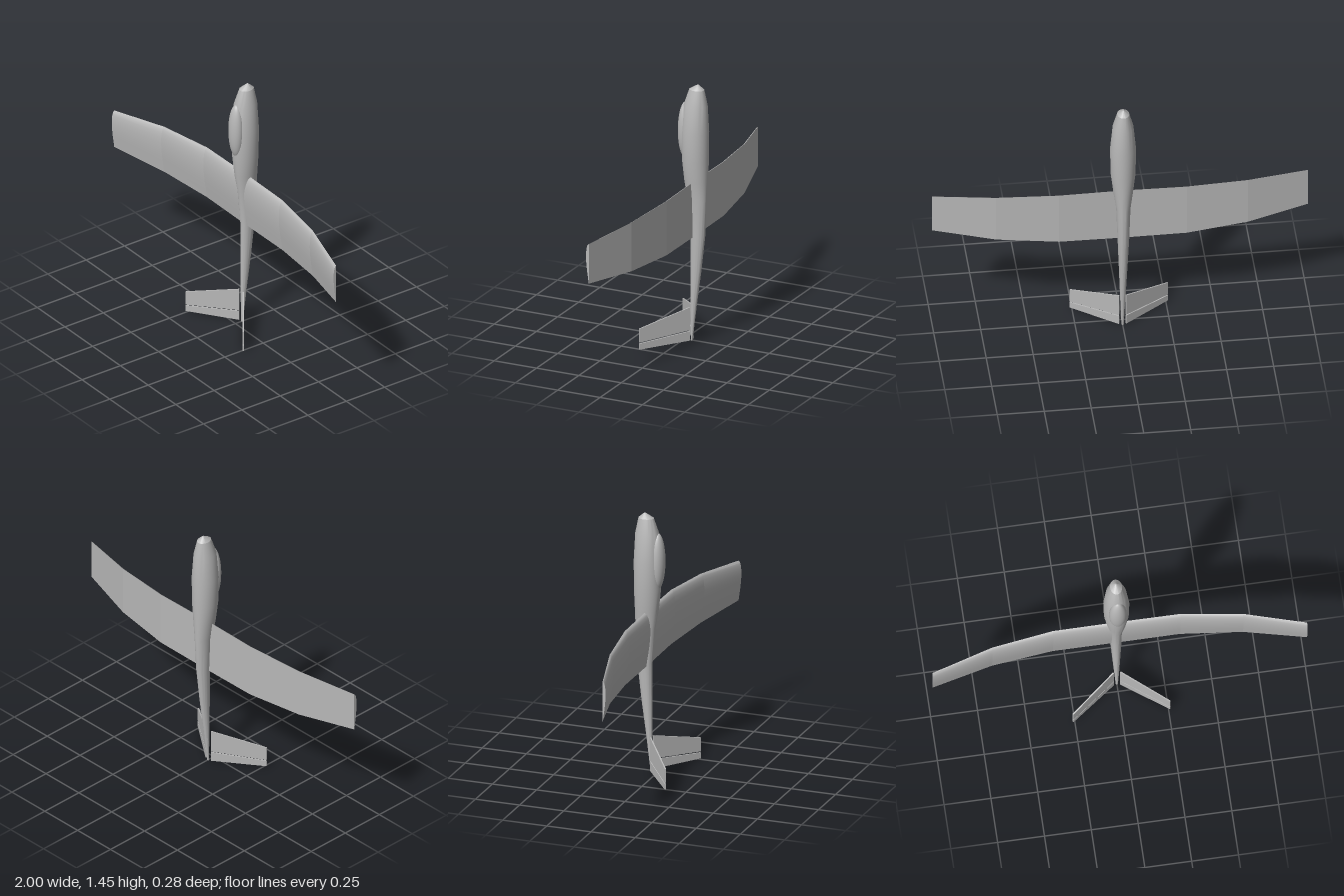
import * as THREE from 'three';
import { toCreasedNormals } from 'three/addons/utils/BufferGeometryUtils.js';

const grey = new THREE.MeshStandardMaterial({ color: 0xb8b8b8 });
grey.name = 'light grey';

// Skin a list of closed sections (counter-clockwise about the travel direction) and cap both ends
function loft(sections, crease) {
  const n = sections[0].length, last = (sections.length - 1) * n;
  const index = [];
  for (let i = 0; i < sections.length - 1; i++) {
    for (let j = 0; j < n; j++) {
      const a = i * n + j, b = i * n + (j + 1) % n;
      index.push(a, b, b + n, a, b + n, a + n);
    }
  }
  for (let j = 1; j < n - 1; j++) {
    index.push(0, j + 1, j, last, last + j, last + j + 1);
  }
  const geometry = new THREE.BufferGeometry();
  geometry.setAttribute('position', new THREE.Float32BufferAttribute(sections.flat(2), 3));
  geometry.setIndex(index);
  return toCreasedNormals(geometry, crease);
}

function addMesh(parent, name, geometry) {
  const mesh = new THREE.Mesh(geometry, grey);
  mesh.name = name;
  parent.add(mesh);
  return mesh;
}

// Fuselage stations: height, half width, back z, front z
const BODY = [
  [0, 0.006, -0.047, -0.039],
  [0.2, 0.015, -0.071, -0.036],
  [0.4, 0.023, -0.098, -0.037],
  [0.6, 0.031, -0.120, -0.037],
  [0.8, 0.038, -0.130, -0.02],
  [0.9, 0.052, -0.133, -0.003],
  [1.02, 0.066, -0.137, 0.009],
  [1.18, 0.069, -0.138, 0.011],
  [1.33, 0.055, -0.131, 0.0],
  [1.417, 0.032, -0.114, -0.03],
  [1.445, 0.003, -0.082, -0.076],
];

function fuselage() {
  const sides = 32;
  return loft(BODY.map(([y, w, back, front]) =>
    Array.from({ length: sides }, (_, j) => {
      const a = (j / sides) * Math.PI * 2;
      return [Math.sin(a) * w, y, (front + back) / 2 + Math.cos(a) * (front - back) / 2];
    })), 0.45);
}

// Wing stations: distance out, trailing edge y, leading edge y, underside z, thickness
const WING = [
  [0, 0.59, 0.9, -0.062, 0.025],
  [0.34, 0.592, 0.896, -0.062, 0.025],
  [0.67, 0.605, 0.88, -0.021, 0.021],
  [1, 0.63, 0.853, 0.066, 0.017],
];

// Flat-bottomed aerofoil: trailing edge, leading edge, then back over the curved top
const TOP = [[0.985, 0.35], [0.95, 0.6], [0.88, 0.83], [0.78, 0.97], [0.66, 1],
  [0.5, 0.9], [0.33, 0.66], [0.16, 0.35]];
const AEROFOIL = [[0, 0], [1, 0], ...TOP, [0, 0.06]];

function wingSection([x, trail, lead, z, thick], side) {
  return AEROFOIL.map(([c, t]) => [x * side, trail + (lead - trail) * c, z + thick * t]);
}

// One tail surface panel along the V direction; edges are [low y, high y]
function tailPanel(side, root, tip) {
  const start = [0.018, -0.039], end = [0.26, 0.137];
  const dx = end[0] - start[0], dz = end[1] - start[1], length = Math.hypot(dx, dz);
  const half = 0.0035, nx = -dz / length * half, nz = side * dx / length * half;
  const section = ([px, pz], [y0, y1]) => [[y0, -1], [y1, -1], [y1, 1], [y0, 1]]
    .map(([y, k]) => [px * side + nx * k, y, pz + nz * k]);
  return loft([section(start, root), section(end, tip)], 0.3);
}

export function createModel() {
  const model = new THREE.Group();
  model.name = 'glider';
  addMesh(model, 'fuselage', fuselage());

  // Canopy bulging from the upper side of the nose
  const canopy = addMesh(model, 'canopy', new THREE.SphereGeometry(1, 32, 24));
  canopy.scale.set(0.047, 0.157, 0.039);
  canopy.position.set(0, 1.18, -0.005);

  for (const [side, label] of [[1, 'left'], [-1, 'right']]) {
    // Wing half in three panels with rising dihedral
    const wing = new THREE.Group();
    wing.name = label + 'Wing';
    for (let i = 0; i < WING.length - 1; i++) {
      const pair = [wingSection(WING[i], side), wingSection(WING[i + 1], side)];
      if (side < 0) pair.reverse();
      addMesh(wing, 'wingPanel' + (i + 1), loft(pair, 0.6));
    }
    model.add(wing);

    // V-tail: fixed fin and hinged control surface with a narrow gap
    const tail = new THREE.Group();
    tail.name = label + 'Tail';
    addMesh(tail, 'tailFin', tailPanel(side, [0.062, 0.19], [0.042, 0.12]));
    addMesh(tail, 'tailFlap', tailPanel(side, [0.003, 0.056], [0.003, 0.036]));
    model.add(tail);
  }
  return model;
}
